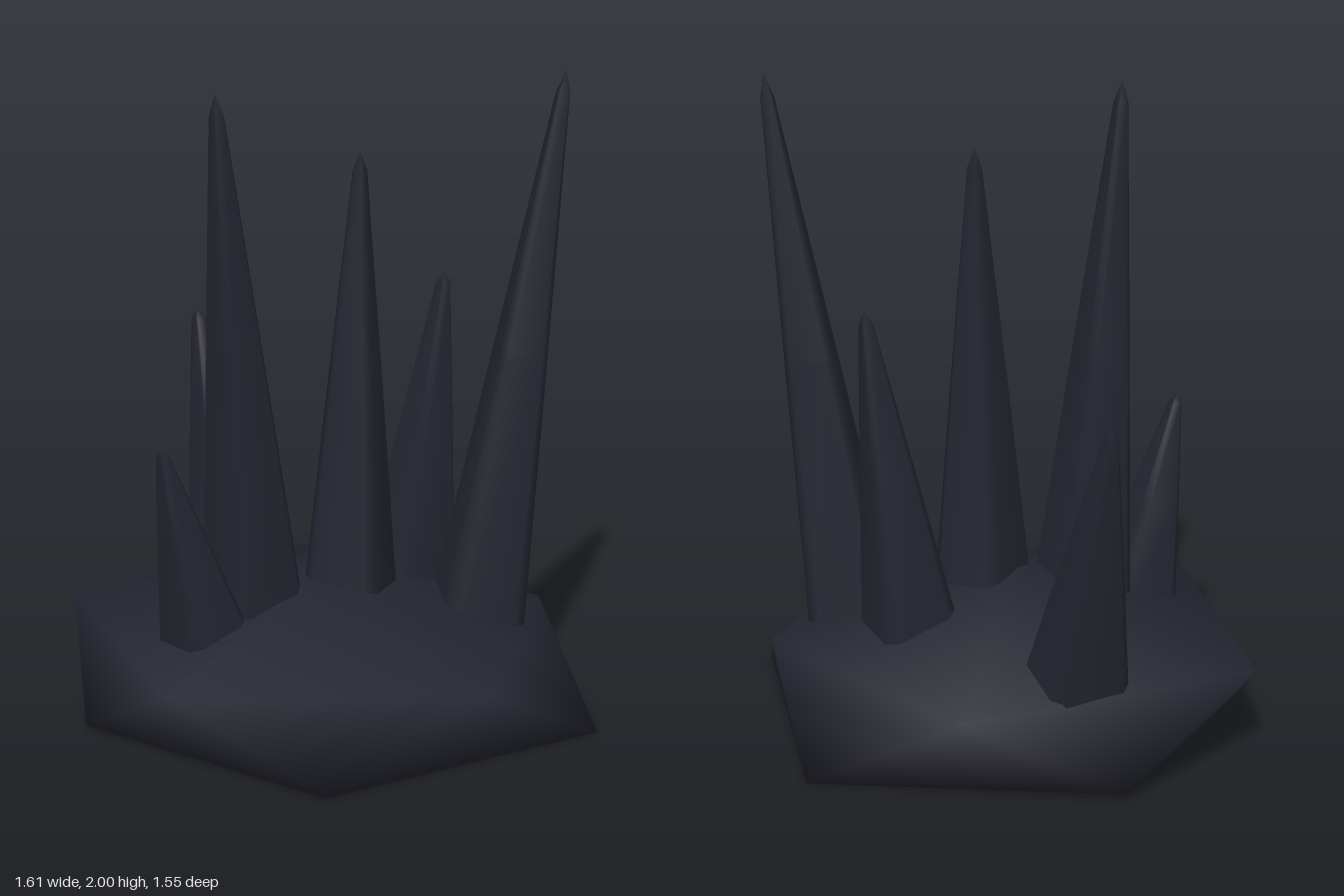
import * as THREE from 'three';

const stone = new THREE.MeshStandardMaterial({ color: 0x242430 });
stone.name = 'dark stone';

function indexedMesh(name, points, faces) {
  const geometry = new THREE.BufferGeometry();
  geometry.setAttribute('position', new THREE.Float32BufferAttribute(points.flat(), 3));
  geometry.setIndex(faces.flat());
  geometry.computeVertexNormals();
  const mesh = new THREE.Mesh(geometry, stone);
  mesh.name = name;
  return mesh;
}

// Boulder: an apex, an upper pentagon, and a lower pentagon turned half a step
function createBase() {
  const upper = [[0.8, 0.28, 0.01], [0.21, 0.275, 0.77], [-0.71, 0.28, 0.51], [-0.66, 0.27, -0.43], [0.19, 0.265, -0.69]];
  const lower = [[0.58, 0.005, 0.46], [-0.28, 0.015, 0.74], [-0.81, 0.015, 0.02], [-0.3, 0, -0.78], [0.68, 0, -0.51]];
  const faces = [];
  for (let i = 0; i < 5; i++) {
    const j = (i + 1) % 5;
    faces.push([10, j, i], [i, j, 5 + i], [j, 5 + j, 5 + i]);
    if (i > 0 && i < 4) faces.push([5, 5 + i, 5 + j]);
  }
  return indexedMesh('rockBase', [...upper, ...lower, [0, 0.47, 0.02]], faces);
}

// Spike: a chamfered square section that shrinks along a leaning axis to a point
function createSpike({ name, foot, tip, half, turn = 0 }) {
  const c = 0.72;
  const section = [[1, -c], [1, c], [c, 1], [-c, 1], [-1, c], [-1, -c], [-c, -1], [c, -1]];
  const a = new THREE.Vector3(foot[0], 0.26, foot[1]);
  const b = new THREE.Vector3(...tip);
  const points = [];
  const faces = [];
  const cos = Math.cos(turn), sin = Math.sin(turn);
  for (const [t, scale] of [[0, 1], [0.5, 0.56], [0.96, 0.14]]) {
    const centre = a.clone().lerp(b, t);
    for (const [u, v] of section) {
      const s = half * scale;
      points.push([centre.x + s * (u * cos - v * sin), centre.y, centre.z + s * (u * sin + v * cos)]);
    }
  }
  points.push(tip);
  for (let j = 0; j < 8; j++) {
    const k = (j + 1) % 8;
    for (const r of [0, 8]) {
      faces.push([r + j, r + 8 + j, r + k], [r + k, r + 8 + j, r + 8 + k]);
    }
    faces.push([16 + j, 24, 16 + k]);
  }
  return indexedMesh(name, points, faces);
}

export function createModel() {
  const group = new THREE.Group();
  group.name = 'spikedRock';
  group.add(createBase());

  const spikes = [
    { name: 'rightSpike', foot: [-0.55, -0.02], tip: [-0.785, 1.13, -0.03], half: 0.132 },
    { name: 'frontTallSpike', foot: [-0.055, 0.255], tip: [-0.055, 1.97, 0.385], half: 0.132 },
    { name: 'frontSmallSpike', foot: [-0.03, 0.445], tip: [-0.02, 0.945, 0.615], half: 0.122 },
    { name: 'centreSpike', foot: [0.043, -0.033], tip: [0.075, 1.775, -0.048], half: 0.132, turn: -0.58 },
    { name: 'backSpike', foot: [-0.03, -0.31], tip: [-0.02, 1.34, -0.455], half: 0.132 },
    { name: 'backTallSpike', foot: [0.228, -0.395], tip: [0.355, 2, -0.61], half: 0.134, turn: 0.5 },
  ];
  for (const spike of spikes) group.add(createSpike(spike));
  return group;
}
